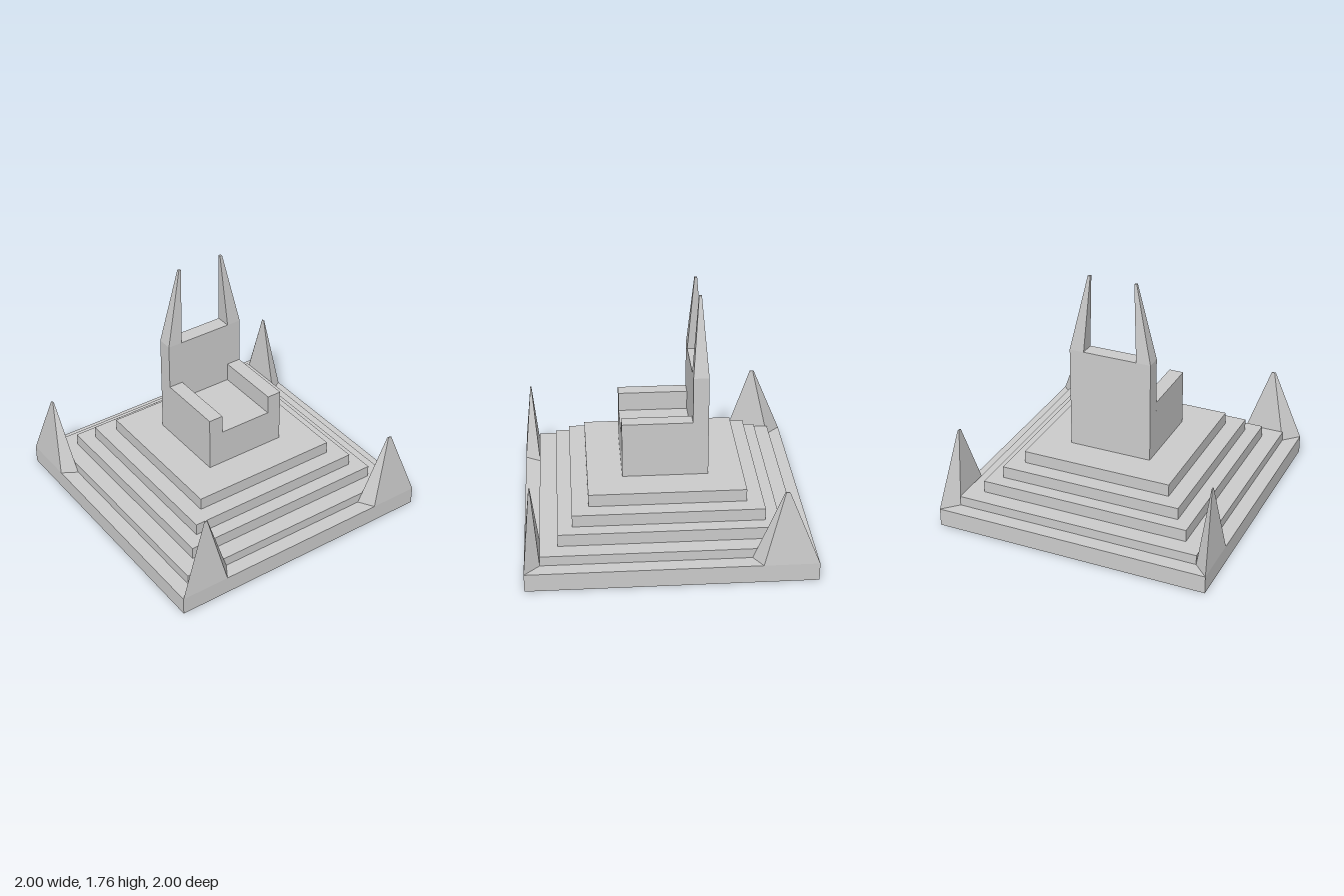
import * as THREE from 'three';

const material = new THREE.MeshStandardMaterial({ color: 0xcccccc, flatShading: true });

// Box given by its limits on each axis
function box(name, [x0, x1], [y0, y1], [z0, z1]) {
  const mesh = new THREE.Mesh(new THREE.BoxGeometry(x1 - x0, y1 - y0, z1 - z0), material);
  mesh.position.set((x0 + x1) / 2, (y0 + y1) / 2, (z0 + z1) / 2);
  mesh.name = name;
  return mesh;
}

// Tapered four-sided spike: base corners [x, z] shrink by `scale` around the tip
function spike(name, corners, y0, y1, [tipX, tipZ], scale) {
  const area = corners.reduce((sum, [x, z], i) => {
    const [nx, nz] = corners[(i + 1) % 4];
    return sum + x * nz - nx * z;
  }, 0);
  const ring = area > 0 ? [...corners].reverse() : corners;
  const [cx, cz] = [0, 1].map((k) => ring.reduce((s, c) => s + c[k], 0) / 4);
  const low = ring.map(([x, z]) => [x, y0, z]);
  const high = ring.map(([x, z]) => [tipX + (x - cx) * scale, y1, tipZ + (z - cz) * scale]);
  const points = [];
  const quad = (a, b, c, d) => points.push(...a, ...b, ...c, ...a, ...c, ...d);
  for (let i = 0; i < 4; i++) {
    const j = (i + 1) % 4;
    quad(low[i], low[j], high[j], high[i]);
  }
  quad(...high);
  quad(low[3], low[2], low[1], low[0]);
  const geometry = new THREE.BufferGeometry();
  geometry.setAttribute('position', new THREE.Float32BufferAttribute(points, 3));
  geometry.computeVertexNormals();
  const mesh = new THREE.Mesh(geometry, material);
  mesh.name = name;
  return mesh;
}

export function createModel() {
  const model = new THREE.Group();
  model.name = 'throne';

  // Stepped square platform: half width and top height of each step
  const steps = [[1, 0.13], [0.893, 0.2], [0.768, 0.288], [0.667, 0.375], [0.55, 0.465]];
  const platform = new THREE.Group();
  platform.name = 'platform';
  let bottom = 0;
  steps.forEach(([h, top], i) => {
    platform.add(box(`step${i + 1}`, [-h, h], [bottom, top], [-h, h]));
    bottom = top;
  });
  model.add(platform);

  // Seat block and tall back
  const chair = new THREE.Group();
  chair.name = 'chair';
  chair.add(box('seat', [-0.303, 0.303], [0.465, 0.732], [-0.193, 0.303]));
  chair.add(box('backrest', [-0.303, 0.303], [0.465, 1.208], [-0.303, -0.193]));
  model.add(chair);

  for (const s of [-1, 1]) {
    const side = s > 0 ? 'left' : 'right';
    const mirror = (corners) => corners.map(([x, z]) => [s * x, z]);

    // Armrest and the spire above each side of the back
    const arm = s > 0 ? [0.197, 0.303] : [-0.303, -0.197];
    chair.add(box(`${side}Armrest`, arm, [0.732, 0.87], [-0.193, 0.303]));
    chair.add(spike(`${side}Spire`,
      mirror([[0.197, -0.303], [0.303, -0.303], [0.303, -0.193], [0.197, -0.193]]),
      1.208, 1.765, [s * 0.171, -0.246], 0.17));

    // Corner spikes: front pair runs along x, back pair along z
    model.add(spike(`${side}FrontSpike`,
      mirror([[1, 1], [0.893, 0.893], [0.578, 0.893], [0.643, 1]]),
      0.13, 0.663, [s * 0.78, 0.946], 0.07));
    model.add(spike(`${side}BackSpike`,
      mirror([[1, -1], [0.893, -0.893], [0.893, -0.553], [1, -0.617]]),
      0.13, 0.663, [s * 0.946, -0.766], 0.07));
  }
  return model;
}
